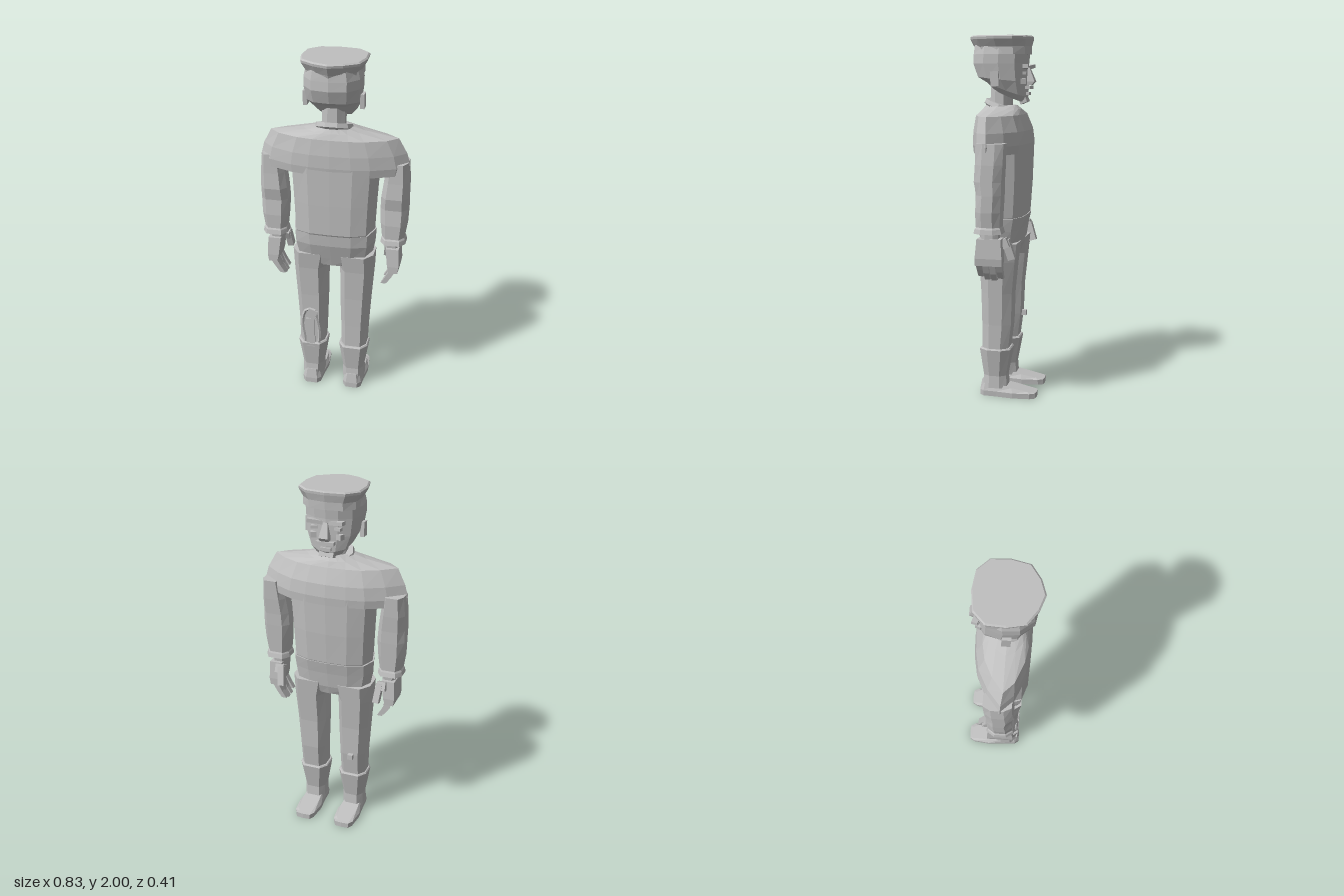
import * as THREE from 'three';

const grey = new THREE.MeshStandardMaterial({ color: 0xc0c0c0, flatShading: true });
grey.name = 'plain grey';

// Unit outlines in x, z, running from +x towards +z
const ngon = (n, turn = 0) => Array.from({ length: n }, (_, i) => {
  const a = ((i + turn) / n) * Math.PI * 2;
  return [Math.cos(a), Math.sin(a)];
});
const mirrorX = (half) => [...half, ...half.filter((p) => p[0] > 0).reverse().map(([x, z]) => [-x, z])];
const OCT = [[1, 0.45], [0.6, 1], [-0.6, 1], [-1, 0.45], [-1, -0.45], [-0.6, -1], [0.6, -1], [1, -0.45]];
const BODY = mirrorX([[0, -1], [0.5, -0.95], [0.86, -0.7], [1, -0.1], [0.86, 0.75], [0.5, 0.97], [0, 1]]);
const LENS = mirrorX([[0, -1], [0.28, -0.95], [0.52, -0.82], [0.78, -0.45], [1, 0.05], [0.84, 0.5], [0.52, 0.86], [0.28, 0.97], [0, 1]]);
const CAP = mirrorX([[0, -1], [0.62, -0.92], [0.97, -0.57], [1, 0], [0.88, 0.55], [0.45, 0.85], [0, 1]]);
const HEAD = mirrorX([[0, -1], [0.42, -0.93], [0.82, -0.66], [1, -0.1], [0.95, 0.45], [0.6, 0.9], [0, 1]]);
const FOOT = mirrorX([[0, -1], [0.6, -0.98], [0.85, -0.8], [1, -0.2], [0.85, 0.4], [0.8, 0.85], [0.5, 1], [0, 1]]);
const SQUARE = [[1, 1], [-1, 1], [-1, -1], [1, -1]];

// Loft rings listed bottom to top: [y, centreX, halfX, zMax, zMin, slope of y along z]
function loft(name, outline, rings) {
  const n = outline.length, pos = [], index = [];
  for (const [y, cx, hx, zMax, zMin, slope = 0] of rings) {
    for (const [u, v] of outline) {
      const z = (zMax + zMin) / 2 + (v * (zMax - zMin)) / 2;
      pos.push(cx + u * hx, y + slope * z, z);
    }
  }
  for (let r = 0; r < rings.length - 1; r++) {
    for (let i = 0; i < n; i++) {
      const a = r * n + i, b = r * n + ((i + 1) % n);
      index.push(a, a + n, b, a + n, b + n, b);
    }
  }
  const top = (rings.length - 1) * n;
  for (let i = 1; i < n - 1; i++) {
    index.push(0, i, i + 1);
    index.push(top, top + i + 1, top + i);
  }
  const g = new THREE.BufferGeometry();
  g.setAttribute('position', new THREE.Float32BufferAttribute(pos, 3));
  g.setIndex(index);
  const flat = g.toNonIndexed();
  flat.computeVertexNormals();
  const m = new THREE.Mesh(flat, grey);
  m.name = name;
  return m;
}

function box(name, size, at, rot = [0, 0, 0]) {
  const m = new THREE.Mesh(new THREE.BoxGeometry(...size), grey);
  m.name = name;
  m.position.set(...at);
  m.rotation.set(...rot);
  return m;
}

function makeHead() {
  const g = new THREE.Group();
  g.name = 'head';
  g.add(
    loft('collar', ngon(10), [
      [1.585, 0, 0.095, 0.105, -0.06, 0.35], [1.6, 0, 0.108, 0.12, -0.075, 0.35], [1.625, 0, 0.1, 0.11, -0.07, 0.35]]),
    loft('neck', ngon(8, 0.5), [[1.56, 0, 0.068, 0.09, -0.035], [1.76, 0, 0.066, 0.085, -0.04]]),
    // Jaw rises from the chin to the nape
    loft('skull', HEAD, [
      [1.685, 0, 0.085, 0.06, -0.105, 0.42], [1.715, 0, 0.115, 0.1, -0.122, 0.36],
      [1.765, 0, 0.145, 0.152, -0.125, 0.1], [1.85, 0, 0.156, 0.177, -0.125],
      [1.9, 0, 0.157, 0.175, -0.13], [1.95, 0, 0.145, 0.17, -0.13]]),
    loft('capBand', CAP, [[1.9, 0, 0.15, 0.165, -0.135], [1.945, 0, 0.15, 0.182, -0.137]]),
    loft('capCrown', CAP, [
      [1.935, 0, 0.147, 0.178, -0.135], [1.98, 0, 0.174, 0.203, -0.146],
      [1.993, 0, 0.176, 0.205, -0.147], [2, 0, 0.168, 0.196, -0.141]]),
    loft('nose', SQUARE, [
      [1.735, 0, 0.024, -0.1, -0.146], [1.755, 0, 0.026, -0.1, -0.163], [1.83, 0, 0.012, -0.1, -0.132]]),
    box('moustache', [0.1, 0.018, 0.03], [0, 1.722, -0.128]),
    box('lowerLip', [0.06, 0.016, 0.03], [0, 1.688, -0.118]),
    box('chin', [0.08, 0.035, 0.04], [0, 1.654, -0.1], [0.4, 0, 0]),
  );
  for (const s of [1, -1]) {
    g.add(
      box('ear', [0.022, 0.08, 0.045], [s * 0.154, 1.77, 0.028], [0.05, 0, 0]),
      box('brow', [0.085, 0.02, 0.03], [s * 0.06, 1.832, -0.118], [0, s * 0.25, s * 0.12]),
      box('eye', [0.05, 0.016, 0.02], [s * 0.06, 1.8, -0.112], [0, s * 0.3, 0]),
      box('cheek', [0.05, 0.03, 0.03], [s * 0.065, 1.757, -0.105], [0, s * 0.4, 0]),
    );
  }
  return g;
}

function makeArm(s) {
  const g = new THREE.Group();
  g.name = s > 0 ? 'leftArm' : 'rightArm';
  g.add(
    loft('sleeve', OCT, [
      [0.99, s * 0.335, 0.06, 0.078, -0.05], [1.08, s * 0.337, 0.072, 0.08, -0.055],
      [1.17, s * 0.337, 0.076, 0.072, -0.06], [1.24, s * 0.339, 0.074, 0.085, -0.062],
      [1.33, s * 0.345, 0.068, 0.078, -0.07], [1.44, s * 0.35, 0.055, 0.075, -0.075]]),
    loft('cuff', OCT, [[0.965, s * 0.336, 0.07, 0.09, -0.062], [0.99, s * 0.336, 0.066, 0.084, -0.055], [1.01, s * 0.336, 0.055, 0.07, -0.045]]),
    loft('wrist', OCT, [[0.92, s * 0.33, 0.038, 0.055, -0.035], [0.98, s * 0.33, 0.04, 0.06, -0.04]]),
    loft('palm', SQUARE, [[0.79, s * 0.347, 0.024, 0.085, -0.06], [0.83, s * 0.345, 0.032, 0.085, -0.062], [0.935, s * 0.337, 0.036, 0.075, -0.055]]),
    box('thumb', [0.035, 0.11, 0.04], [s * 0.29, 0.87, -0.082], [0.3, 0, s * -0.1]),
    box('thumbBase', [0.05, 0.05, 0.05], [s * 0.305, 0.905, -0.06], [0.4, 0, 0]),
  );
  [0.068, 0.032, -0.005, -0.041].forEach((z, i) => {
    const tip = 0.7 + [0.02, 0.004, 0, 0.012][i];
    g.add(loft('finger', SQUARE, [
      [tip, s * 0.292, 0.014, z + 0.014, z - 0.014], [tip + 0.04, s * 0.318, 0.016, z + 0.016, z - 0.016],
      [0.81, s * 0.347, 0.018, z + 0.017, z - 0.017]]));
  });
  return g;
}

function makeLeg(s) {
  const g = new THREE.Group();
  g.name = s > 0 ? 'leftLeg' : 'rightLeg';
  g.add(
    loft('trouserLeg', OCT, [
      [0.25, s * 0.123, 0.072, 0.098, -0.045], [0.42, s * 0.124, 0.077, 0.098, -0.066],
      [0.6, s * 0.127, 0.086, 0.1, -0.072], [0.78, s * 0.133, 0.093, 0.108, -0.09],
      [0.88, s * 0.122, 0.108, 0.12, -0.1]]),
    loft('boot', OCT, [
      [0.05, s * 0.122, 0.062, 0.098, -0.04], [0.12, s * 0.121, 0.06, 0.092, -0.035],
      [0.275, s * 0.122, 0.085, 0.112, -0.062], [0.282, s * 0.122, 0.08, 0.106, -0.056]]),
    loft('shoe', FOOT, [
      [0, s * 0.122, 0.066, 0.115, -0.205], [0.03, s * 0.122, 0.069, 0.115, -0.205],
      [0.068, s * 0.122, 0.052, 0.105, -0.188, 0.19]]),
  );
  return g;
}

// Curved strap and sheath on the right calf
function makeSheath() {
  const g = new THREE.Group();
  g.name = 'calfSheath';
  const loop = new THREE.CatmullRomCurve3([
    [-0.1, 0.5], [-0.15, 0.5], [-0.175, 0.42], [-0.165, 0.33], [-0.145, 0.24], [-0.085, 0.27], [-0.075, 0.36], [-0.09, 0.44],
  ].map(([x, y]) => new THREE.Vector3(x, y, 0.096)), true);
  const strap = new THREE.Mesh(new THREE.TubeGeometry(loop, 20, 0.01, 5, true), grey);
  strap.name = 'strap';
  g.add(strap,
    box('sheath', [0.05, 0.19, 0.02], [-0.125, 0.35, 0.1]),
    box('grip', [0.055, 0.06, 0.022], [-0.118, 0.475, 0.098], [0, 0, -0.3]),
    box('buckle', [0.03, 0.03, 0.035], [-0.13, 0.415, -0.073]));
  return g;
}

export function createModel() {
  const model = new THREE.Group();
  model.name = 'standingMan';
  model.add(
    makeHead(),
    // Shoulders spread from the collar and taper into the arms
    loft('shoulders', LENS, [
      [1.375, 0, 0.405, 0.15, -0.14], [1.42, 0, 0.414, 0.155, -0.143], [1.49, 0, 0.395, 0.154, -0.135],
      [1.575, 0, 0.35, 0.142, -0.1], [1.605, 0, 0.17, 0.125, -0.082], [1.625, 0, 0.09, 0.11, -0.06]]),
    loft('torso', BODY, [
      [1.0, 0, 0.222, 0.14, -0.112], [1.025, 0, 0.228, 0.152, -0.122], [1.2, 0, 0.236, 0.154, -0.134], [1.42, 0, 0.25, 0.153, -0.141]]),
    loft('hips', BODY, [
      [0.81, 0, 0.1, 0.1, -0.08], [0.86, 0, 0.215, 0.115, -0.096], [0.95, 0, 0.232, 0.142, -0.11],
      [1.02, 0, 0.236, 0.148, -0.125]]),
    makeSheath(),
  );
  for (const s of [1, -1]) model.add(makeArm(s), makeLeg(s));
  return model;
}
